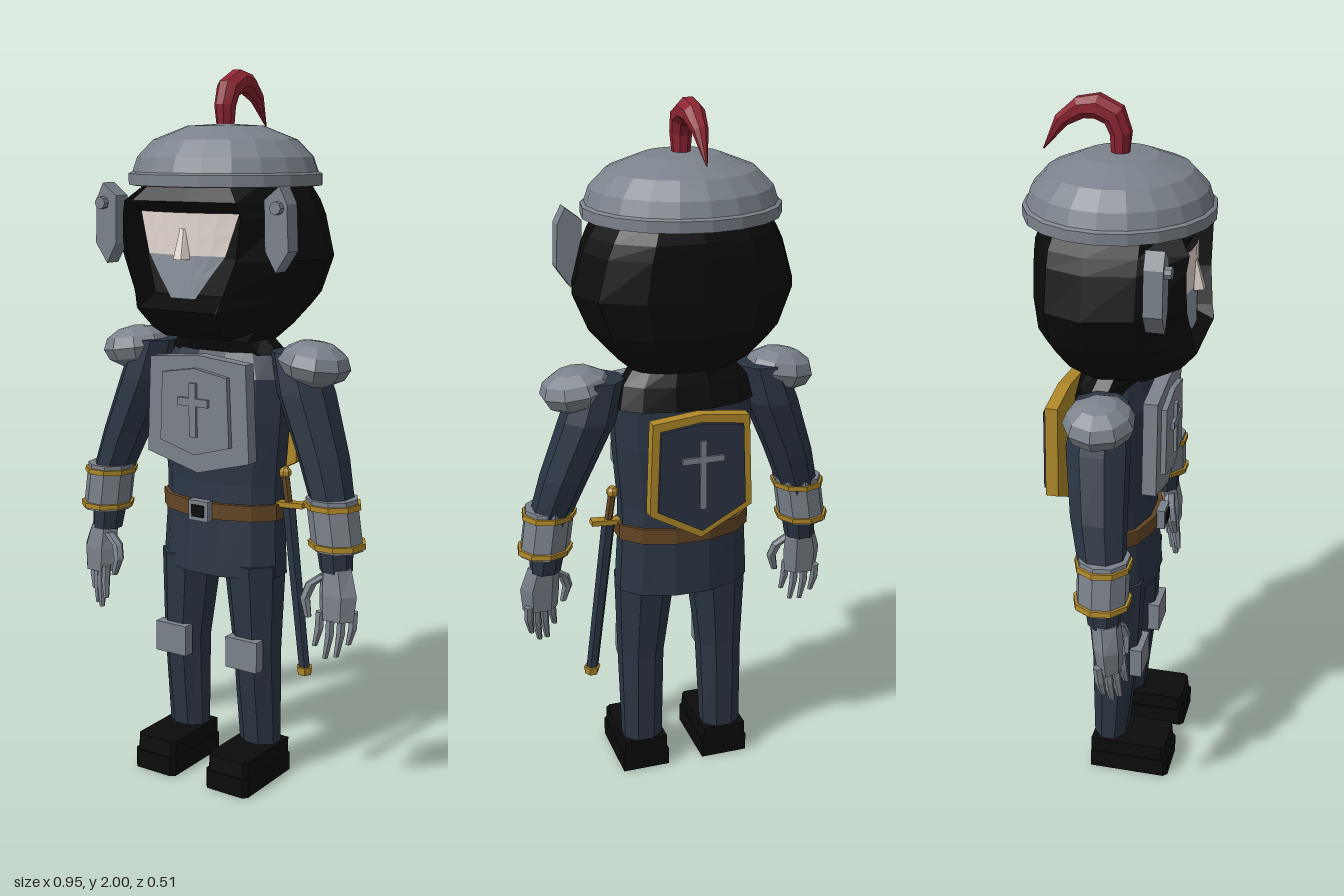
import * as THREE from 'three';

const colour = (name, color) => {
  const m = new THREE.MeshStandardMaterial({ color });
  m.name = name;
  return m;
};

export function createModel() {
  const steel = colour('steel', 0x7b828b);
  const navy = colour('navy cloth', 0x2b3544);
  const black = colour('black', 0x0b0b0b);
  const gold = colour('gold', 0xae8729);
  const brown = colour('brown leather', 0x634524);
  const red = colour('red plume', 0x8c2431);
  const skin = colour('pale skin', 0xe2d6cf);
  const beardGrey = colour('grey beard', 0x8a939d);
  const model = new THREE.Group();
  model.name = 'knight';

  // Faceted mesh
  const add = (name, geo, mat, x = 0, y = 0, z = 0) => {
    const g = geo.index ? geo.toNonIndexed() : geo;
    g.computeVertexNormals();
    const mesh = new THREE.Mesh(g, mat);
    mesh.name = name;
    mesh.position.set(x, y, z);
    model.add(mesh);
    return mesh;
  };
  const box = (name, mat, w, h, d, x, y, z) => add(name, new THREE.BoxGeometry(w, h, d), mat, x, y, z);

  // Closed skin over rings of points, bottom to top, counterclockwise from above
  const loft = (rings) => {
    const n = rings[0].length, pos = rings.flat(2), idx = [];
    for (let r = 0; r < rings.length - 1; r++)
      for (let i = 0; i < n; i++) {
        const a = r * n + i, b = r * n + (i + 1) % n;
        idx.push(a, b, b + n, a, b + n, a + n);
      }
    const total = n * rings.length;
    [rings[0], rings[rings.length - 1]].forEach((ring, k) => {
      const start = k ? total - n : 0;
      for (let c = 0; c < 3; c++) pos.push(ring.reduce((s, p) => s + p[c], 0) / n);
      for (let i = 0; i < n; i++) {
        const a = start + i, b = start + (i + 1) % n;
        idx.push(total + k, k ? a : b, k ? b : a);
      }
    });
    const g = new THREE.BufferGeometry();
    g.setAttribute('position', new THREE.Float32BufferAttribute(pos, 3));
    g.setIndex(idx);
    return g;
  };

  // Upright limb from sections [x, y, z, radiusX, radiusZ]
  const limb = (name, mat, sections, sides = 8) => add(name, loft(sections.map(([x, y, z, rx, rz]) =>
    Array.from({ length: sides }, (_, i) => {
      const a = (i + 0.5) / sides * Math.PI * 2;
      return [x + Math.sin(a) * rx, y, z + Math.cos(a) * rz];
    }))), mat);

  const plate = (name, mat, pts, depth, z) => add(name, new THREE.ExtrudeGeometry(
    new THREE.Shape(pts.map(p => new THREE.Vector2(...p))), { depth, bevelEnabled: false }), mat, 0, 0, z);
  const shieldPoints = (w, peak, top, low, tip) =>
    [[0, peak], [-w * 0.93, top], [-w, low], [0, tip], [w, low], [w * 0.93, top]];

  // Tunic, belt and buckle
  limb('tunic', navy, [
    [0, 0.607, 0.005, 0.2, 0.115], [0, 0.79, 0, 0.19, 0.106], [0, 0.87, 0, 0.19, 0.102],
    [0, 1.05, 0, 0.205, 0.105], [0, 1.17, 0, 0.21, 0.1], [0, 1.25, -0.01, 0.16, 0.07]], 12);
  limb('belt', brown, [[0, 0.772, 0.002, 0.2, 0.117], [0, 0.817, 0.002, 0.2, 0.117]], 12);
  box('buckle', steel, 0.065, 0.058, 0.025, 0, 0.795, 0.125);
  box('buckleCentre', black, 0.04, 0.034, 0.006, 0, 0.795, 0.139);

  // Breastplate with raised field and cross
  plate('breastplate', steel, shieldPoints(0.17, 1.235, 1.22, 0.95, 0.905), 0.04, 0.1);
  plate('breastplateField', steel, shieldPoints(0.115, 1.2, 1.182, 0.99, 0.958), 0.015, 0.14);
  box('breastplateCross', steel, 0.022, 0.15, 0.012, 0, 1.085, 0.158);
  box('breastplateCross', steel, 0.1, 0.022, 0.012, 0, 1.107, 0.158);

  // Shield carried on the back
  plate('shieldRim', gold, shieldPoints(0.148, 1.18, 1.165, 0.9, 0.818), 0.036, -0.18);
  plate('shieldField', navy, shieldPoints(0.126, 1.158, 1.143, 0.912, 0.842), 0.014, -0.191);
  box('shieldCross', steel, 0.018, 0.2, 0.008, 0, 1.01, -0.194);
  box('shieldCross', steel, 0.12, 0.018, 0.008, 0, 1.055, -0.194);

  // Hood collar
  limb('collar', black, [[0, 1.17, -0.035, 0.2, 0.085], [0, 1.235, -0.02, 0.185, 0.085],
    [0, 1.29, 0, 0.14, 0.085], [0, 1.33, 0, 0.14, 0.085]], 12);

  // Hood with a recessed face opening: y, half width, back z, rim z, rim x, recess z
  const hood = [
    [1.275, 0.15, -0.1, 0.1, 0.08, 0.1], [1.31, 0.19, -0.15, 0.19, 0.11, 0.19],
    [1.365, 0.24, -0.185, 0.235, 0.13, 0.235], [1.4, 0.27, -0.2, 0.228, 0.14, 0.15],
    [1.5, 0.312, -0.205, 0.215, 0.175, 0.14], [1.61, 0.28, -0.205, 0.215, 0.19, 0.14],
    [1.65, 0.26, -0.203, 0.22, 0.18, 0.2], [1.71, 0.22, -0.18, 0.17, 0.12, 0.17]];
  add('hood', loft(hood.map(([y, w, zb, zf, rx, cz]) => {
    const half = [[rx * 0.93, y, cz], [rx, y, zf], [w * 0.9, y, 0.1], [w, y, -0.03],
      [w * 0.86, y, zb * 0.66], [w * 0.5, y, zb * 0.96]];
    const other = half.map(([x, yy, z]) => [-x, yy, z]).reverse();
    return [[0, y, cz], ...half, [0, y, zb], ...other];
  })), black);

  // Curved face and beard
  const facePatch = (name, mat, y0, y1, w0, w1) => {
    const g = new THREE.PlaneGeometry(2, 1, 6, 2), p = g.attributes.position;
    for (let i = 0; i < p.count; i++) {
      const t = p.getY(i) + 0.5, x = p.getX(i) * (w0 + (w1 - w0) * t);
      p.setXYZ(i, x, y0 + (y1 - y0) * t, 0.205 - 1.3 * x * x);
    }
    return add(name, g, mat);
  };
  facePatch('face', skin, 1.51, 1.622, 0.125, 0.16);
  facePatch('beard', beardGrey, 1.395, 1.51, 0.04, 0.125);
  limb('nose', skin, [[0, 1.5, 0.205, 0.025, 0.028], [0, 1.58, 0.2, 0.012, 0.008]], 6);

  // Helmet
  const profile = [[0.2, 1.7], [0.245, 1.688], [0.255, 1.69], [0.255, 1.72], [0.245, 1.725],
    [0.232, 1.765], [0.19, 1.81], [0.1, 1.847], [0, 1.853]].map(p => new THREE.Vector2(...p));
  add('helmet', new THREE.LatheGeometry(profile, 20), steel).scale.x = 1.06;
  add('helmetUnderside', new THREE.CircleGeometry(0.21, 20).rotateX(Math.PI / 2), steel, 0, 1.7, 0);

  // Plume: tapered sections [y, z, radius] swept along a bend
  const plume = [[1.84, 0, 0.024], [1.9, 0.002, 0.03], [1.945, -0.015, 0.034], [1.966, -0.06, 0.034],
    [1.96, -0.105, 0.03], [1.925, -0.155, 0.021], [1.847, -0.205, 0.002]];
  add('plume', loft(plume.map(([y, z, r], i) => {
    const p = plume[Math.max(i - 1, 0)], q = plume[Math.min(i + 1, plume.length - 1)];
    const len = Math.hypot(q[0] - p[0], q[1] - p[1]);
    const ny = -(q[1] - p[1]) / len, nz = (q[0] - p[0]) / len;
    return Array.from({ length: 8 }, (_, k) => {
      const a = (k + 0.5) / 8 * Math.PI * 2;
      return [Math.sin(a) * r, y + Math.cos(a) * r * ny, z + Math.cos(a) * r * nz];
    });
  })), red);

  for (const s of [-1, 1]) {
    const side = s > 0 ? 'left' : 'right';

    // Cheek guards with rivets
    const guard = [[0.24, 1.66], [0.285, 1.695], [0.308, 1.65], [0.313, 1.53], [0.275, 1.475], [0.243, 1.53]];
    plate(side + 'CheekGuard', steel, guard.map(([x, y]) => [s * x, y]), 0.05, 0.13);
    add(side + 'Rivet', new THREE.CylinderGeometry(0.017, 0.017, 0.02, 8).rotateX(Math.PI / 2), steel, s * 0.283, 1.64, 0.188);

    // Arm, shoulder guard and banded cuff
    limb(side + 'Arm', navy, [[s * 0.395, 0.67, 0.05, 0.045, 0.045], [s * 0.375, 0.85, 0.04, 0.06, 0.066],
      [s * 0.335, 0.97, 0.022, 0.07, 0.078], [s * 0.268, 1.14, 0.005, 0.08, 0.088], [s * 0.235, 1.25, 0.005, 0.07, 0.075]]);
    const pad = add(side + 'ShoulderGuard', new THREE.SphereGeometry(1, 9, 6), steel, s * 0.298, 1.222, 0.015);
    pad.scale.set(0.102, 0.062, 0.097);
    pad.rotation.z = -s * 0.15;
    const cuff = (name, mat, y0, y1, r) => limb(side + name, mat, [y0, y1].map(y =>
      [s * (0.378 + (0.86 - y) * 0.15), y, 0.045, r, r]), 9);
    cuff('Cuff', steel, 0.73, 0.87, 0.072);
    cuff('CuffBand', gold, 0.737, 0.752, 0.08);
    cuff('CuffBand', gold, 0.843, 0.858, 0.079);

    // Gauntlet hand
    limb(side + 'Palm', steel, [[s * 0.41, 0.54, 0.07, 0.052, 0.034], [s * 0.41, 0.61, 0.065, 0.058, 0.04],
      [s * 0.4, 0.68, 0.055, 0.045, 0.04]], 6);
    [[0.449, 0.47, 0.05], [0.422, 0.435, 0.068], [0.396, 0.43, 0.083], [0.37, 0.465, 0.095]].forEach(([x, y, z]) =>
      limb(side + 'Finger', steel, [[s * (x - 0.008), y, z + 0.008, 0.008, 0.009],
        [s * x, (y + 0.56) / 2, z, 0.013, 0.014], [s * x, 0.56, z - 0.005, 0.013, 0.014]], 6));
    limb(side + 'Thumb', steel, [[s * 0.335, 0.54, 0.095, 0.01, 0.011], [s * 0.322, 0.59, 0.09, 0.015, 0.016],
      [s * 0.335, 0.63, 0.08, 0.017, 0.017], [s * 0.375, 0.66, 0.07, 0.018, 0.018]], 6);

    // Leg, knee guard and shoe
    limb(side + 'Leg', navy, [[s * 0.125, 0.08, 0.003, 0.062, 0.05], [s * 0.122, 0.38, 0.018, 0.069, 0.071],
      [s * 0.108, 0.64, 0.012, 0.09, 0.09]]);
    box(side + 'KneeGuard', steel, 0.105, 0.09, 0.035, s * 0.122, 0.385, 0.087);
    const shoe = (name, y0, y1, w, toe0, toe1) => {
      const ring = (y, toe) => [[-w, y, toe - 0.012], [-w + 0.012, y, toe], [w - 0.012, y, toe], [w, y, toe - 0.012],
        [w, y, -0.045], [-w, y, -0.045]].map(([x, yy, z]) => [x + s * 0.125, yy, z]);
      add(side + name, loft([ring(y0, toe0), ring(y1, toe1)]), black);
    };
    shoe('Sole', 0, 0.055, 0.071, 0.19, 0.19);
    shoe('Shoe', 0.055, 0.1, 0.066, 0.184, 0.18);
  }

  // Sheathed sword at the left hip
  limb('scabbard', navy, [[0.274, 0.35, 0.008, 0.018, 0.016], [0.217, 0.81, 0.005, 0.02, 0.02]], 6);
  limb('scabbardTip', gold, [[0.276, 0.333, 0.008, 0.02, 0.022], [0.274, 0.355, 0.008, 0.025, 0.024]], 6);
  box('swordGuard', gold, 0.1, 0.015, 0.03, 0.217, 0.818, 0.005).rotation.z = 0.06;
  limb('swordGrip', brown, [[0.216, 0.82, 0.005, 0.012, 0.012], [0.204, 0.9, 0.005, 0.012, 0.012]], 6);
  add('pommel', new THREE.SphereGeometry(0.018, 7, 5), gold, 0.203, 0.907, 0.005);
  return model;
}
